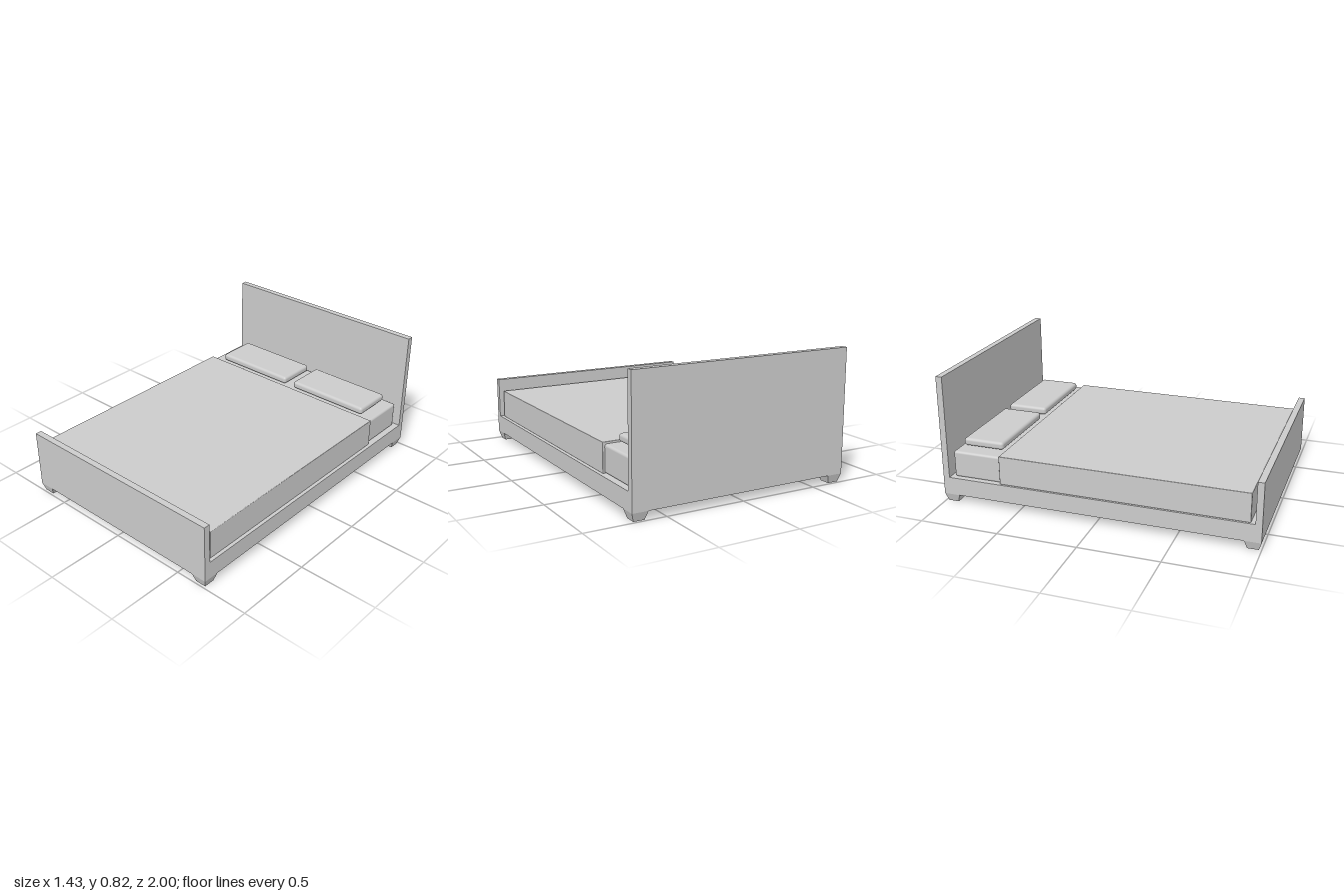
import * as THREE from 'three';
import { RoundedBoxGeometry } from 'three/addons/geometries/RoundedBoxGeometry.js';

const material = new THREE.MeshStandardMaterial({ color: 0xcccccc });

export function createModel() {
  const bed = new THREE.Group();
  bed.name = 'bed';

  // Adds a box given its [min, max] extents; a radius rounds its edges
  function block(name, [x0, x1], [y0, y1], [z0, z1], radius = 0) {
    const size = [x1 - x0, y1 - y0, z1 - z0];
    const geometry = radius
      ? new RoundedBoxGeometry(...size, 4, radius)
      : new THREE.BoxGeometry(...size);
    const mesh = new THREE.Mesh(geometry, material);
    mesh.name = name;
    mesh.position.set((x0 + x1) / 2, (y0 + y1) / 2, (z0 + z1) / 2);
    bed.add(mesh);
  }

  // Frame
  const W = 0.713;
  block('base', [-W, W], [0.052, 0.165], [-0.96, 0.96]);
  block('headboard', [-W, W], [0.052, 0.82], [-1, -0.96]);
  block('footboard', [-W, W], [0.052, 0.425], [0.96, 1]);

  // Tapered square feet, one under each corner
  const foot = new THREE.BoxGeometry(0.1, 0.052, 0.1);
  const p = foot.attributes.position;
  for (let i = 0; i < p.count; i++) {
    if (p.getY(i) < 0) p.setXYZ(i, p.getX(i) * 0.68, p.getY(i), p.getZ(i) * 0.68);
  }
  foot.computeVertexNormals();
  for (const sx of [-1, 1]) {
    for (const sz of [-1, 1]) {
      const mesh = new THREE.Mesh(foot, material);
      mesh.name = (sz > 0 ? 'front' : 'back') + (sx > 0 ? 'Left' : 'Right') + 'Foot';
      mesh.position.set(sx * (W - 0.05), 0.026, sz * 0.95);
      bed.add(mesh);
    }
  }

  // Bedding
  block('mattress', [-0.685, 0.678], [0.165, 0.335], [-0.935, 0.92], 0.015);
  block('blanket', [-0.702, 0.692], [0.165, 0.348], [-0.62, 0.932], 0.004);
  block('rightPillow', [-0.604, -0.036], [0.345, 0.394], [-0.903, -0.637], 0.018);
  block('leftPillow', [0.034, 0.602], [0.345, 0.394], [-0.903, -0.637], 0.018);

  return bed;
}
